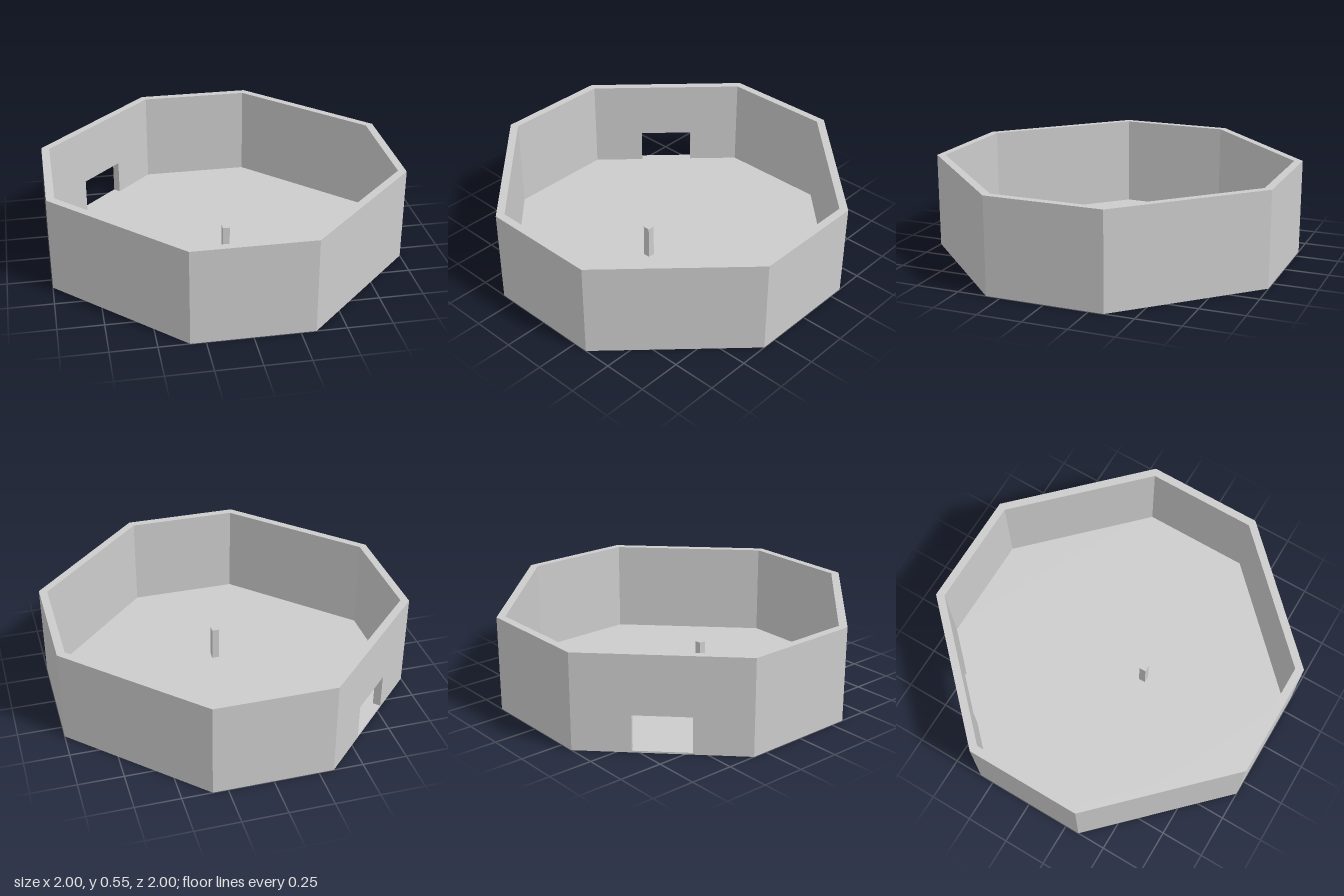
import * as THREE from 'three';

const C = 1 / 3;          // half length of the axis-aligned sides
const FLOOR = 0.01;       // floor slab thickness
const HEIGHT = 0.545;     // total height
const WALL = 0.045;       // wall thickness
const DOOR = { side: 5, width: 0.315, top: 0.21 };

const material = new THREE.MeshStandardMaterial({ color: 0xcccccc, flatShading: true });

function part(name, geometry) {
  const mesh = new THREE.Mesh(geometry, material);
  mesh.name = name;
  return mesh;
}

// Upright panel, outer face towards +z, ends mitred to meet its neighbours
function wallPanel(length, hasDoor) {
  const h = length / 2, w = DOOR.width / 2;
  const outline = [[-h, FLOOR]];
  if (hasDoor) outline.push([-w, FLOOR], [-w, DOOR.top], [w, DOOR.top], [w, FLOOR]);
  outline.push([h, FLOOR], [h, HEIGHT], [-h, HEIGHT]);
  const shape = new THREE.Shape(outline.map(([x, y]) => new THREE.Vector2(x, y)));
  const geometry = new THREE.ExtrudeGeometry(shape, { depth: WALL, bevelEnabled: false });

  const p = geometry.attributes.position;
  const mitre = WALL * Math.tan(Math.PI / 8);
  for (let i = 0; i < p.count; i++) {
    const x = p.getX(i);
    if (p.getZ(i) < WALL / 2 && Math.abs(x) > h - 1e-4) p.setX(i, x - Math.sign(x) * mitre);
  }
  geometry.computeVertexNormals();
  return geometry;
}

export function createModel() {
  const model = new THREE.Group();
  model.name = 'octagonalEnclosure';

  // Floor slab
  const corners = [[C, -1], [1, -C], [1, C], [C, 1], [-C, 1], [-1, C], [-1, -C], [-C, -1]];
  const floorShape = new THREE.Shape(corners.map(([x, y]) => new THREE.Vector2(x, y)));
  const floor = new THREE.ExtrudeGeometry(floorShape, { depth: FLOOR, bevelEnabled: false });
  floor.rotateX(-Math.PI / 2);
  model.add(part('floor', floor));

  // Eight walls, short on the axes and longer on the diagonals
  const walls = new THREE.Group();
  walls.name = 'walls';
  for (let i = 0; i < 8; i++) {
    const diagonal = i % 2 === 1;
    const length = diagonal ? (1 - C) * Math.SQRT2 : 2 * C;
    const distance = (diagonal ? (1 + C) / Math.SQRT2 : 1) - WALL;
    const angle = i * Math.PI / 4;
    const hasDoor = i === DOOR.side;
    const wall = part(hasDoor ? 'doorwayWall' : 'wall' + i, wallPanel(length, hasDoor));
    wall.rotation.y = angle;
    wall.position.set(Math.sin(angle) * distance, 0, Math.cos(angle) * distance);
    walls.add(wall);
  }
  model.add(walls);

  // Square post standing on the floor
  const postHeight = 0.208 - FLOOR;
  const post = part('post', new THREE.BoxGeometry(0.04, postHeight, 0.04));
  post.position.set(0, FLOOR + postHeight / 2, 0.18);
  model.add(post);

  return model;
}
